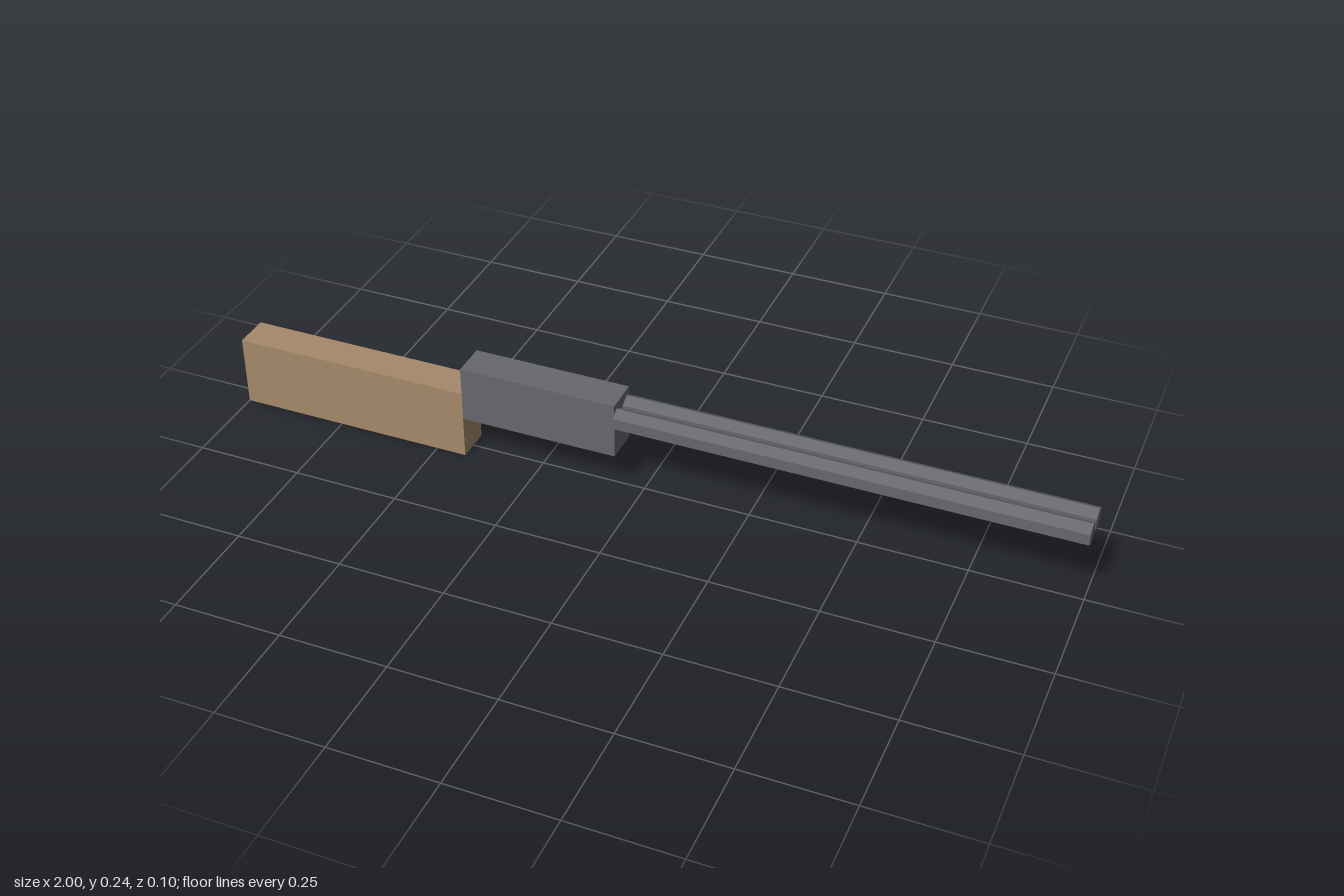
import * as THREE from 'three';

export function createModel() {
  const group = new THREE.Group();
  const wood = new THREE.MeshStandardMaterial({ name: 'wood', color: 0xa5896b, flatShading: true });
  const steel = new THREE.MeshStandardMaterial({ name: 'steel', color: 0x67686c, flatShading: true });

  const add = (name, geometry, material, x, y, z = 0) => {
    const mesh = new THREE.Mesh(geometry, material);
    mesh.name = name;
    mesh.position.set(x, y, z);
    group.add(mesh);
  };

  // Stock and receiver: plain blocks meeting end to end
  add('stock', new THREE.BoxGeometry(0.572, 0.17, 0.084), wood, -0.714, 0.085);
  add('receiver', new THREE.BoxGeometry(0.374, 0.135, 0.084), steel, -0.241, 0.1695);

  // Twin six-sided barrels, with corners pointing up and down
  const barrel = new THREE.CylinderGeometry(0.0265, 0.0265, 1.054, 6, 1, false, Math.PI / 6);
  barrel.rotateZ(-Math.PI / 2);
  for (const [name, side] of [['rightBarrel', 1], ['leftBarrel', -1]]) {
    add(name, barrel, steel, 0.473, 0.196, side * 0.028);
  }

  return group;
}
